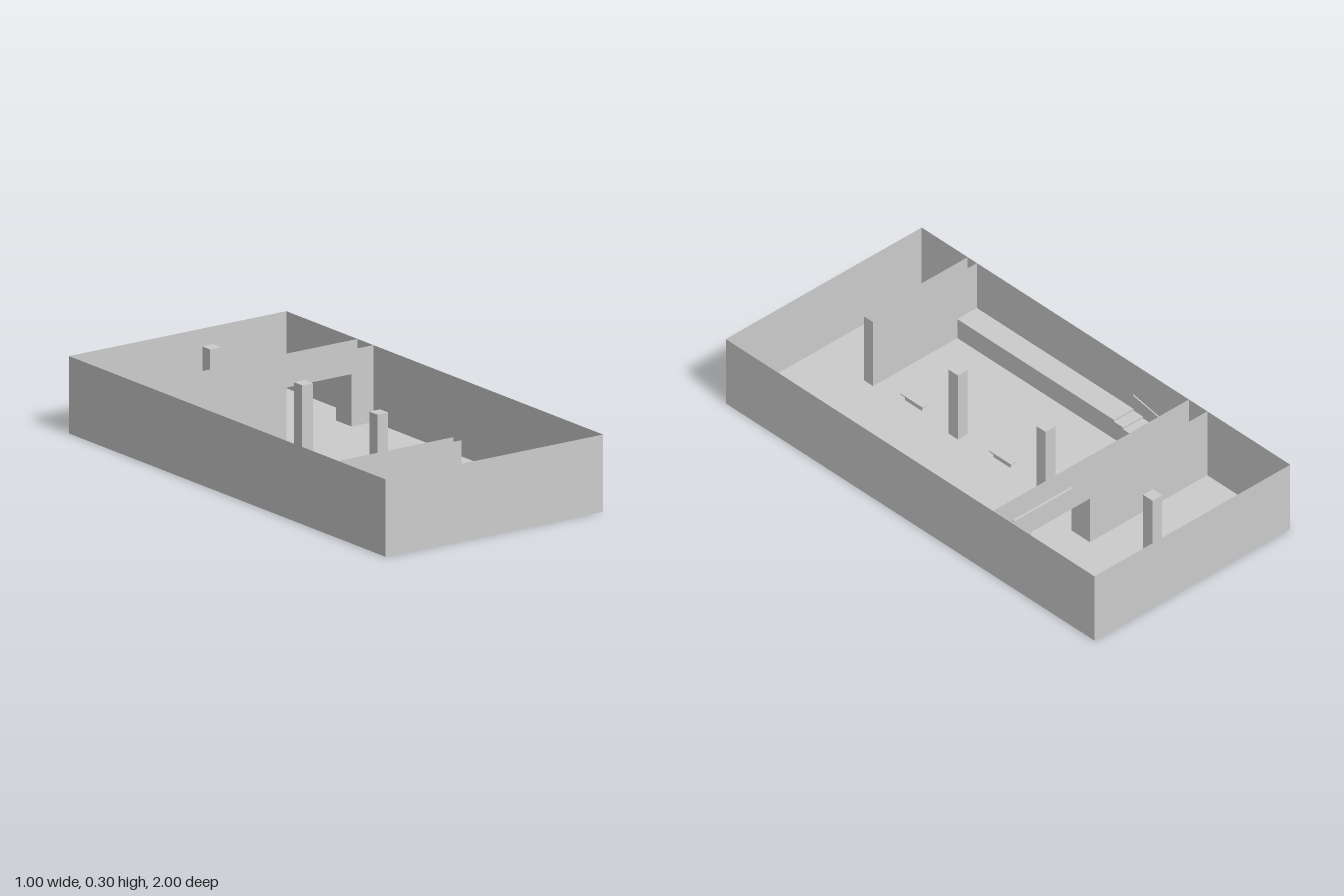
import * as THREE from 'three';

const H = 0.3;        // wall height
const FLOOR = 0.0015; // floor sits just above the bench feet

export function createModel() {
  const group = new THREE.Group();
  const mat = new THREE.MeshStandardMaterial({ color: 0xcccccc, side: THREE.DoubleSide, flatShading: true });

  const add = (name, geo, parent = group) => {
    const mesh = new THREE.Mesh(geo, mat);
    mesh.name = name;
    parent.add(mesh);
    return mesh;
  };
  // Box given by its minimum and maximum corners
  const box = (name, x0, x1, y0, y1, z0, z1, parent) =>
    add(name, new THREE.BoxGeometry(x1 - x0, y1 - y0, z1 - z0), parent)
      .position.set((x0 + x1) / 2, (y0 + y1) / 2, (z0 + z1) / 2);
  // Thin upright sheets across x or along z
  const sheetX = (name, x0, x1, z, y0 = 0, y1 = H) =>
    add(name, new THREE.PlaneGeometry(x1 - x0, y1 - y0)).position.set((x0 + x1) / 2, (y0 + y1) / 2, z);
  const sheetZ = (name, x, z0, z1, y0 = 0, y1 = H) => {
    const m = add(name, new THREE.PlaneGeometry(z1 - z0, y1 - y0));
    m.rotation.y = Math.PI / 2;
    m.position.set(x, (y0 + y1) / 2, (z0 + z1) / 2);
  };
  // Level sheet
  const sheetY = (name, x0, x1, y, z0, z1) => {
    const m = add(name, new THREE.PlaneGeometry(x1 - x0, z1 - z0));
    m.rotation.x = -Math.PI / 2;
    m.position.set((x0 + x1) / 2, y, (z0 + z1) / 2);
  };

  // Floor and outer walls
  sheetY('floor', -0.5, 0.5, FLOOR, -1, 1);
  sheetX('frontWall', -0.5, 0.5, 1);
  sheetX('backWall', -0.5, 0.5, -1);
  sheetZ('leftWall', 0.5, -1, 1);
  sheetZ('rightWall', -0.5, -1, 1);

  // Hollow dividing wall, open on top, with a doorway
  const doorL = 0.1, doorR = 0.4, doorTop = 0.205;
  const outline = new THREE.Shape([
    [-0.5, 0], [doorL, 0], [doorL, doorTop], [doorR, doorTop],
    [doorR, 0], [0.5, 0], [0.5, H], [-0.5, H],
  ].map(([x, y]) => new THREE.Vector2(x, y)));
  for (const z of [-0.45, -0.55]) add('dividingWall', new THREE.ShapeGeometry(outline)).position.z = z;
  for (const x of [doorL, doorR]) sheetZ('doorJamb', x, -0.55, -0.45, 0, doorTop);
  sheetY('doorLintel', doorL, doorR, doorTop, -0.55, -0.45);

  // Hollow screen wall near the front, open on top
  for (const z of [0.7, 0.75]) sheetX('screenWall', -0.5, 0.03, z);
  sheetZ('screenWallEnd', 0.03, 0.7, 0.75);

  // Raised walkway, landing and two short flights of steps
  const top = 0.09, mid = 0.05, tread = 0.05;
  box('walkway', -0.5, -0.4, FLOOR, top, -0.15, 0.7);
  box('landing', -0.5, -0.4, FLOOR, mid, -0.45, -0.35);
  for (let i = 0; i < 4; i++) {
    const z = -0.35 + i * tread;
    box('upperStep', -0.5, -0.4, FLOOR, mid + (top - mid) * (i + 1) / 5, z, z + tread);
  }
  for (let i = 0; i < 5; i++) {
    const x = -0.4 + i * tread;
    box('lowerStep', x, x + tread, FLOOR, mid * (5 - i) / 6, -0.45, -0.35);
  }

  // Handrail following both flights along the walls
  const rail = [
    [-0.497, 0.154, -0.15], [-0.497, 0.115, -0.36], [-0.497, 0.115, -0.446],
    [-0.38, 0.115, -0.446], [-0.15, 0.07, -0.446],
  ].map((p) => new THREE.Vector3(...p));
  for (let i = 0; i < rail.length - 1; i++) {
    const a = rail[i], b = rail[i + 1];
    const m = add('handrail', new THREE.BoxGeometry(0.005, 0.007, a.distanceTo(b)));
    m.position.copy(a).lerp(b, 0.5);
    m.lookAt(b);
  }

  // Square columns on the centre line
  for (const z of [-0.785, -0.205, 0.27]) box('column', -0.025, 0.025, FLOOR, H, z - 0.025, z + 0.025);

  // Benches: a thin seat on one upright panel
  const bench = (x, z, turn) => {
    const g = new THREE.Group();
    g.name = 'bench';
    box('benchSeat', -0.06, 0.06, 0.026, 0.031, -0.0135, 0.0135, g);
    box('benchSupport', -0.045, 0.045, 0, 0.026, -0.0025, 0.0025, g);
    g.position.set(x, 0, z);
    g.rotation.y = turn;
    group.add(g);
  };
  for (const s of [-1, 1]) bench(s * 0.226, -0.784, 0);
  for (const z of [0.03, 0.51]) bench(0, z, Math.PI / 2);

  return group;
}
